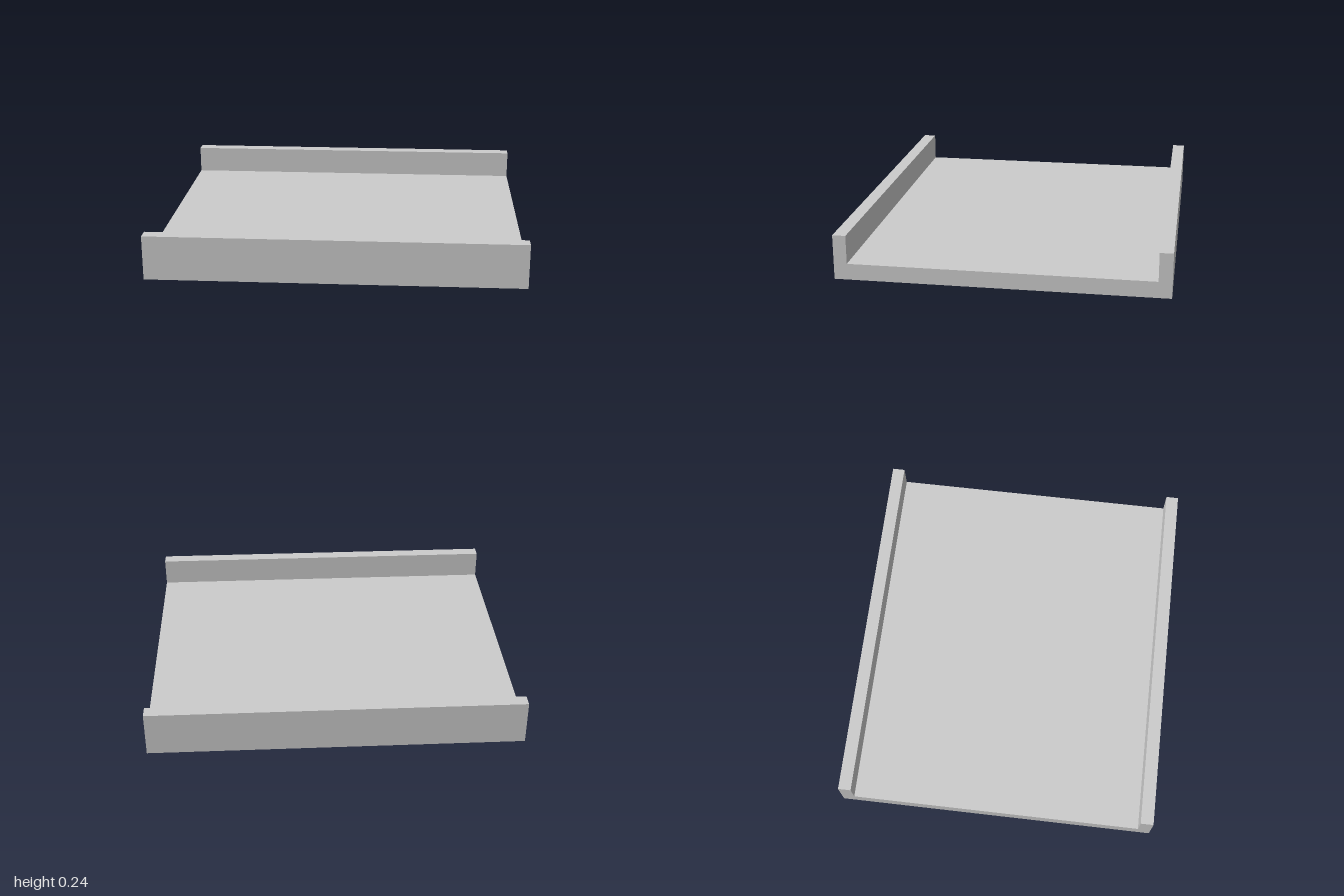
import * as THREE from 'three';

const LENGTH = 2, HALF_WIDTH = 0.87, INNER = 0.8, HEIGHT = 0.24, FLOOR = 0.087;

export function createModel() {
  const group = new THREE.Group();
  group.name = 'channelTray';

  // U-shaped cross-section: flat floor with an upright lip on each side
  const profile = new THREE.Shape([
    [-HALF_WIDTH, 0], [HALF_WIDTH, 0], [HALF_WIDTH, HEIGHT], [INNER, HEIGHT],
    [INNER, FLOOR], [-INNER, FLOOR], [-INNER, HEIGHT], [-HALF_WIDTH, HEIGHT],
  ].map(([z, y]) => new THREE.Vector2(z, y)));

  // Run the section along x, centred
  const geometry = new THREE.ExtrudeGeometry(profile, { depth: LENGTH, bevelEnabled: false });
  geometry.translate(0, 0, -LENGTH / 2).rotateY(Math.PI / 2);

  const channel = new THREE.Mesh(geometry, new THREE.MeshStandardMaterial({ color: 0xcccccc }));
  channel.name = 'channel';
  group.add(channel);
  return group;
}
